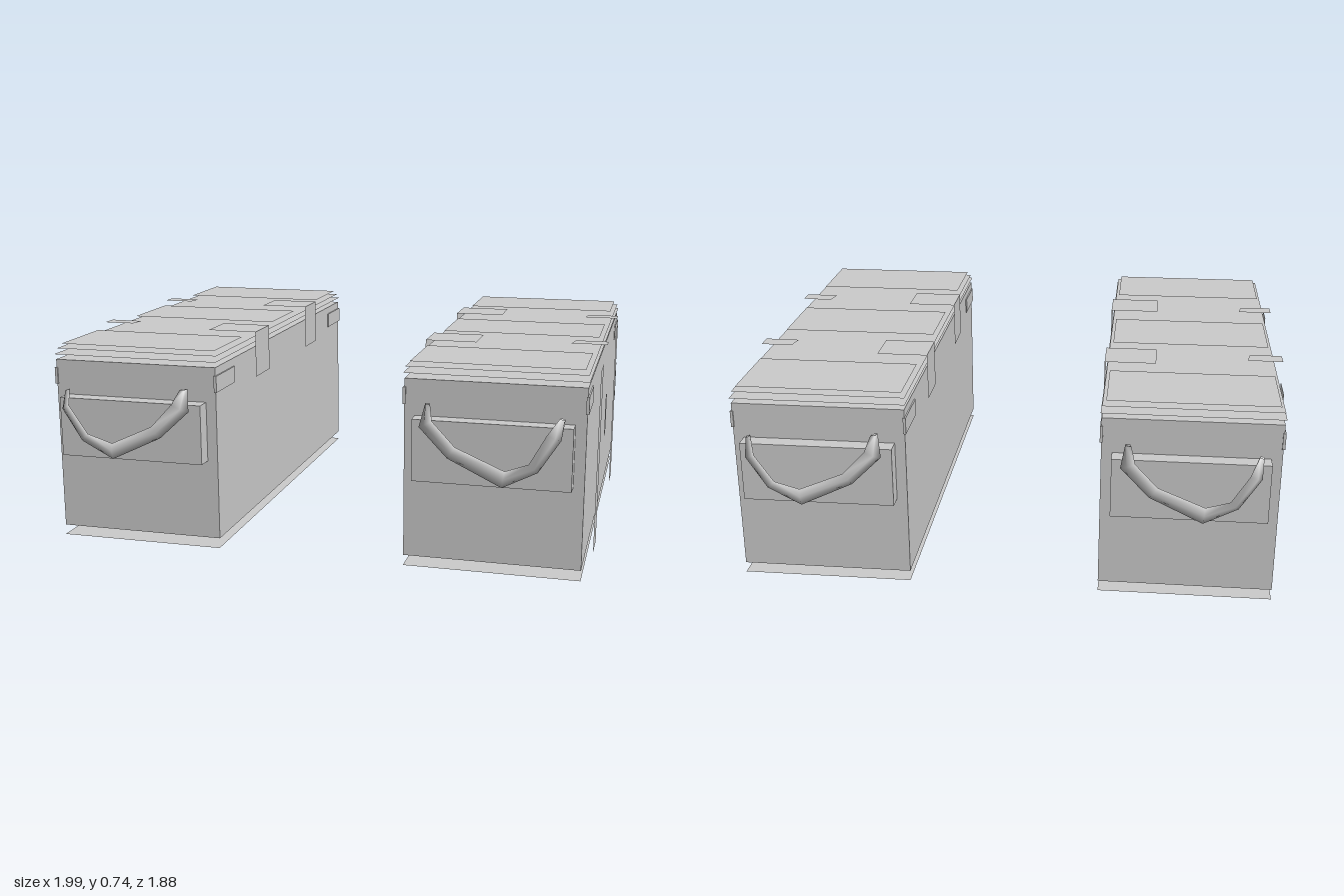
import * as THREE from 'three';

const mat = new THREE.MeshStandardMaterial({ color: 0xcccccc, side: THREE.DoubleSide, flatShading: true });
const smooth = new THREE.MeshStandardMaterial({ color: 0xcccccc, side: THREE.DoubleSide });

function add(parent, name, geometry, material = mat) {
  const mesh = new THREE.Mesh(geometry, material);
  mesh.name = name;
  parent.add(mesh);
  return mesh;
}

// Solid block from its limits
function block(parent, name, x0, x1, y0, y1, z0, z1) {
  const g = new THREE.BoxGeometry(x1 - x0, y1 - y0, z1 - z0);
  g.translate((x0 + x1) / 2, (y0 + y1) / 2, (z0 + z1) / 2);
  return add(parent, name, g);
}

// Flat horizontal sheet
function sheet(parent, name, x0, x1, z0, z1, y) {
  const g = new THREE.PlaneGeometry(x1 - x0, z1 - z0).rotateX(-Math.PI / 2);
  g.translate((x0 + x1) / 2, y, (z0 + z1) / 2);
  return add(parent, name, g);
}

// Flat upright sheet facing sideways
function sideSheet(parent, name, x, y0, y1, z0, z1) {
  const g = new THREE.PlaneGeometry(z1 - z0, y1 - y0).rotateY(Math.PI / 2);
  g.translate(x, (y0 + y1) / 2, (z0 + z1) / 2);
  return add(parent, name, g);
}

// Drooping, twisted carry handle: x, y, z, half width, twist
function handleGeometry() {
  const path = [
    [-0.215, 0.605, 0.865, 0.015, 0.8],
    [-0.215, 0.545, 0.905, 0.034, 0.5],
    [-0.125, 0.455, 0.915, 0.026, 0.2],
    [0.05, 0.372, 0.905, 0.028, -0.2],
    [0.15, 0.42, 0.915, 0.022, 0.3],
    [0.215, 0.53, 0.925, 0.03, 0.6],
    [0.235, 0.58, 0.865, 0.014, 0.9],
  ];
  const pos = [], index = [];
  path.forEach(([x, y, z, w, twist], i) => {
    const a = path[Math.max(i - 1, 0)], b = path[Math.min(i + 1, path.length - 1)];
    const len = Math.hypot(b[0] - a[0], b[1] - a[1]);
    const nx = -(b[1] - a[1]) / len, ny = (b[0] - a[0]) / len;
    for (let k = 0; k < 4; k++) {
      const t = k * Math.PI / 2, u = Math.cos(t) * w, v = Math.sin(t) * 0.009;
      const r = u * Math.cos(twist) - v * Math.sin(twist);
      pos.push(x + nx * r, y + ny * r, z + u * Math.sin(twist) + v * Math.cos(twist));
    }
    if (i) for (let k = 0; k < 4; k++) {
      const p = (i - 1) * 4 + k, q = (i - 1) * 4 + (k + 1) % 4;
      index.push(p, q, p + 4, q, q + 4, p + 4);
    }
  });
  const g = new THREE.BufferGeometry();
  g.setAttribute('position', new THREE.Float32BufferAttribute(pos, 3));
  g.setIndex(index);
  g.computeVertexNormals();
  return g;
}

// Small tapered latch plate in its own plane
function latchGeometry(length) {
  const s = new THREE.Shape();
  s.moveTo(-0.032, 0);
  s.lineTo(0.032, 0);
  s.lineTo(0.036, length * 0.5);
  s.lineTo(0.03, length * 0.92);
  s.lineTo(-0.03, length);
  return new THREE.ShapeGeometry(s);
}

// One crate; its outer side faces +x
function createCrate() {
  const crate = new THREE.Group();
  const W = 0.31, L = 0.8;
  block(crate, 'body', -W, W, 0.038, 0.675, -L, L);
  sheet(crate, 'baseSheet', -W, W, -0.805, 0.805, 0.002);

  // Layered lid
  sheet(crate, 'lidLower', -W - 0.004, W + 0.004, -0.808, 0.808, 0.695);
  sheet(crate, 'lidUpper', -W, W, -0.79, 0.79, 0.714);
  for (const [z0, z1] of [[-0.778, -0.483], [-0.138, 0.16], [0.477, 0.777]]) {
    sheet(crate, 'lidPanel', -0.297, 0.297, z0, z1, 0.73);
  }

  // Hinges folded over the inner top edge
  for (const z of [-0.32, 0.32]) {
    sheet(crate, 'hingeTop', -0.32, -0.13, z - 0.08, z + 0.08, 0.735);
    sideSheet(crate, 'hingeSide', -0.32, 0.56, 0.735, z - 0.08, z + 0.08);
  }

  // Outer straps and latches
  sideSheet(crate, 'strap', 0.33, 0, 0.672, 0.377, 0.507);
  sideSheet(crate, 'strap', 0.33, 0, 0.672, -0.518, -0.39);
  for (const z of [-0.302, 0.302]) {
    const front = add(crate, 'latchSide', latchGeometry(0.16));
    front.rotation.y = Math.PI / 2;
    front.position.set(0.34, 0.393, z);
    const top = add(crate, 'latchTop', latchGeometry(0.13));
    top.rotation.set(-Math.PI / 2, 0, Math.PI / 2);
    top.position.set(0.338, 0.735, z);
  }

  for (const s of [-1, 1]) {
    // Corner trim just below the lid
    for (const x of [-W, W]) {
      block(crate, 'cornerTrim', x - 0.005, x + 0.005, 0.585, 0.645,
        s > 0 ? 0.62 : -0.805, s > 0 ? 0.805 : -0.62);
    }
    // Handle and its mounting block
    const end = new THREE.Group();
    end.name = 'handleEnd';
    block(end, 'handleMount', -0.272, 0.272, 0.33, 0.547, 0.795, 0.858);
    add(end, 'handle', handleGeometry(), smooth);
    if (s < 0) end.scale.z = -1;
    crate.add(end);
  }
  return crate;
}

export function createModel() {
  const model = new THREE.Group();
  model.name = 'cratePair';
  const left = createCrate();
  left.name = 'leftCrate';
  left.position.set(0.652, 0, -0.005);
  const right = createCrate();
  right.name = 'rightCrate';
  right.rotation.y = Math.PI;
  right.position.set(-0.655, 0, -0.005);
  model.add(left, right);
  return model;
}
